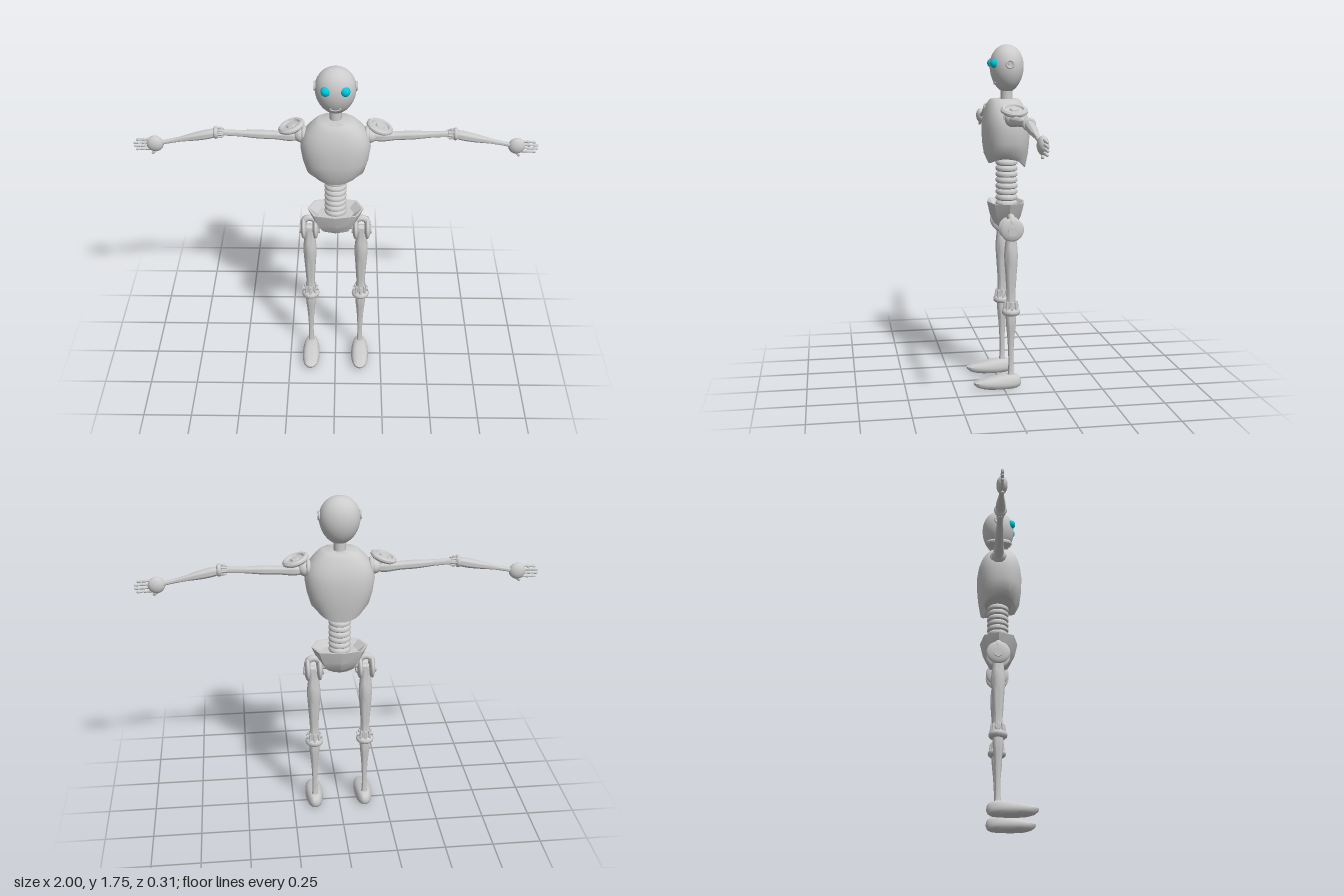
import * as THREE from 'three';
import { toCreasedNormals } from 'three/addons/utils/BufferGeometryUtils.js';

const grey = new THREE.MeshStandardMaterial({ color: 0xcccccc, side: THREE.DoubleSide });
const cyan = new THREE.MeshStandardMaterial({ color: 0x00c8dc });
const Z = -0.04; // depth of the body axis
const UP = new THREE.Vector3(0, 1, 0);
const v = (x, y, z = Z) => new THREE.Vector3(x, y, z);

function add(parent, name, geometry, pos, material = grey) {
  const mesh = new THREE.Mesh(geometry, material);
  mesh.name = name;
  if (pos) mesh.position.copy(pos);
  parent.add(mesh);
  return mesh;
}

// Stacks rounded cross-sections [y, halfWidth, zFront, zBack], listed bottom to top
function loft(sections, seg, power, crease, edge = () => 0) {
  const p = [], idx = [], n = sections.length;
  const pw = (c) => Math.sign(c) * Math.abs(c) ** (2 / power);
  sections.forEach(([y, w, zf, zb], i) => {
    for (let j = 0; j < seg; j++) {
      const t = (j / seg) * Math.PI * 2, sx = pw(Math.sin(t)), cz = pw(Math.cos(t));
      p.push(w * sx, y + edge(i, sx, cz), (zf + zb) / 2 + ((zf - zb) / 2) * cz);
    }
  });
  for (const i of [0, n - 1]) p.push(0, sections[i][0], (sections[i][2] + sections[i][3]) / 2);
  for (let j = 0; j < seg; j++) {
    const k = (j + 1) % seg, top = (n - 1) * seg;
    for (let i = 0; i < n - 1; i++) {
      const a = i * seg + j, b = i * seg + k;
      idx.push(a, b, b + seg, a, b + seg, a + seg);
    }
    idx.push(n * seg, k, j, n * seg + 1, top + j, top + k);
  }
  const g = new THREE.BufferGeometry();
  g.setAttribute('position', new THREE.Float32BufferAttribute(p, 3));
  g.setIndex(idx);
  return toCreasedNormals(g, crease);
}

const lathe = (pts, seg = 28) =>
  toCreasedNormals(new THREE.LatheGeometry(pts.map(([r, y]) => new THREE.Vector2(r, y)), seg), 0.7);

// Turned bar from a to b; profile is [fraction along, radius]
function limb(parent, name, a, b, profile) {
  const d = b.clone().sub(a), len = d.length();
  const curve = new THREE.SplineCurve(profile.map(([t, r]) => new THREE.Vector2(r, t * len)));
  const pts = curve.getPoints(24).map((q) => [q.x, q.y]);
  const mesh = add(parent, name, lathe([[0, 0], ...pts, [0, len]], 20), a);
  mesh.quaternion.setFromUnitVectors(UP, d.normalize());
}

// Knee or elbow: thick collar, hub, side pivots and a crown of prongs along the limb
function joint(parent, name, pos, dir, size) {
  const g = new THREE.Group();
  g.name = name;
  g.position.copy(pos);
  g.quaternion.setFromUnitVectors(UP, dir.clone().normalize());
  g.scale.setScalar(size);
  parent.add(g);
  add(g, 'collar', new THREE.TorusGeometry(0.029, 0.018, 12, 28).rotateX(Math.PI / 2));
  add(g, 'hub', lathe([[0, -0.04], [0.018, -0.035], [0.03, -0.01], [0.03, 0.02], [0.024, 0.055], [0, 0.06]]));
  for (let i = 0; i < 8; i++) {
    const t = (i / 8) * Math.PI * 2;
    const prong = add(g, 'prong', new THREE.CapsuleGeometry(0.0065, 0.035, 3, 8),
      v(Math.cos(t) * 0.032, 0.034, Math.sin(t) * 0.032));
    prong.rotation.set(-Math.sin(t) * 0.15, 0, Math.cos(t) * 0.15);
  }
  for (const s of [-1, 1])
    add(g, 'pivot', new THREE.CylinderGeometry(0.012, 0.012, 0.012, 16).rotateZ(Math.PI / 2), v(s * 0.036, 0.03, 0));
}

function buildHead(body) {
  const head = new THREE.Group();
  head.name = 'head';
  body.add(head);
  // Egg-shaped skull, narrower towards the chin
  const egg = new THREE.SphereGeometry(1, 40, 28), p = egg.attributes.position;
  for (let i = 0; i < p.count; i++) {
    const y = p.getY(i), k = 1 + 0.09 * y;
    p.setXYZ(i, p.getX(i) * 0.1 * k, y * 0.12, p.getZ(i) * 0.085 * k);
  }
  egg.computeVertexNormals();
  add(head, 'skull', egg, v(0, 1.63));
  add(head, 'neck', new THREE.CylinderGeometry(0.03, 0.03, 0.09, 28), v(0, 1.495));
  const mouth = add(head, 'mouth', new THREE.TorusGeometry(0.024, 0.005, 8, 28), v(0, 1.56, 0.022));
  mouth.scale.y = 0.35;
  for (const s of [-1, 1]) {
    add(head, 'eye', new THREE.SphereGeometry(0.024, 24, 16), v(s * 0.047, 1.656, 0.028), cyan);
    add(head, 'earRing', new THREE.TorusGeometry(0.018, 0.006, 10, 28).rotateY(Math.PI / 2), v(s * 0.1, 1.653));
    add(head, 'earHub', new THREE.CylinderGeometry(0.01, 0.01, 0.012, 20).rotateZ(Math.PI / 2), v(s * 0.1, 1.653));
  }
}

function buildTrunk(body) {
  // Chest shell with a lower edge raised at the sides
  add(body, 'chest', loft([
    [1.18, 0.09, 0.03, -0.11], [1.14, 0.12, 0.053, -0.132], [1.2, 0.145, 0.074, -0.144],
    [1.26, 0.163, 0.082, -0.15], [1.33, 0.174, 0.085, -0.152], [1.38, 0.168, 0.08, -0.145],
    [1.42, 0.148, 0.071, -0.132], [1.45, 0.122, 0.06, -0.118], [1.47, 0.1, 0.05, -0.107], [1.478, 0.085, 0.042, -0.098],
  ], 48, 2.4, 0.7, (i, sx, cz) => (i === 1 ? 0.04 * sx * sx + 0.012 * cz : 0)));
  // Ribbed spine
  const ribs = [[0, 0.93]];
  for (let i = 0; i < 8; i++)
    for (const [r, dy] of [[0.046, 0], [0.055, 0.006], [0.057, 0.014], [0.055, 0.022]]) ribs.push([r, 0.93 + i * 0.03 + dy]);
  add(body, 'spine', lathe([...ribs, [0.046, 1.17], [0, 1.19]], 32), v(0, 0));
  // Faceted pelvis bowl with a hollow top
  add(body, 'pelvis', loft([
    [0.822, 0.045, 0, -0.075], [0.842, 0.085, 0.025, -0.095], [0.888, 0.115, 0.047, -0.118],
    [0.955, 0.145, 0.062, -0.133], [0.955, 0.135, 0.054, -0.125], [0.925, 0.095, 0.03, -0.1],
  ], 8, 2.6, 0.45));
}

function buildArm(body, s) {
  const arm = new THREE.Group();
  arm.name = s > 0 ? 'leftArm' : 'rightArm';
  body.add(arm);
  const elbow = v(s * 0.575, 1.396), wrist = v(s * 0.875, 1.333);
  // Dished shoulder pad, high on the neck side
  const pad = add(arm, 'shoulderPad', lathe([
    [0, -0.016], [0.055, -0.014], [0.067, -0.004], [0.067, 0.005], [0.058, 0.014],
    [0.046, 0.013], [0.041, 0.004], [0.024, 0.004], [0.02, 0.012], [0, 0.013],
  ], 36), v(s * 0.216, 1.432));
  pad.rotation.z = -s * 0.33;
  add(arm, 'shoulderBall', new THREE.SphereGeometry(0.038, 24, 16), v(s * 0.168, 1.385));
  add(arm, 'shoulderSocket', new THREE.TorusGeometry(0.033, 0.012, 10, 24).rotateY(Math.PI / 2), v(s * 0.155, 1.388));
  limb(arm, 'padStrut', v(s * 0.17, 1.38), v(s * 0.214, 1.43), [[0, 0.02], [0.5, 0.016], [1, 0.02]]);
  limb(arm, 'upperArm', v(s * 0.18, 1.378), elbow,
    [[0, 0.02], [0.12, 0.027], [0.3, 0.022], [0.5, 0.022], [0.75, 0.016], [1, 0.016]]);
  joint(arm, 'elbow', v(s * 0.588, 1.395), v(-s, 0, 0), 0.68);
  limb(arm, 'forearm', elbow, wrist,
    [[0, 0.018], [0.15, 0.024], [0.35, 0.022], [0.65, 0.013], [0.9, 0.011], [1, 0.014]]);
  // Hand with four fingers and a thumb
  const palm = add(arm, 'palm', new THREE.SphereGeometry(1, 24, 16), v(s * 0.893, 1.33));
  palm.scale.set(0.042, 0.042, 0.026);
  for (let i = 0; i < 4; i++) {
    const y = 1.3 + i * 0.018, tip = [0.985, 0.994, 0.9945, 0.98][i];
    limb(arm, 'finger', v(s * 0.905, y + 0.002), v(s * (tip + 0.0055), y - 0.003),
      [[0, 0.009], [0.4, 0.006], [0.5, 0.008], [0.65, 0.0055], [0.92, 0.0065], [1, 0.003]]);
  }
  limb(arm, 'thumb', v(s * 0.875, 1.31, -0.045), v(s * 0.912, 1.276, -0.035),
    [[0, 0.011], [0.5, 0.008], [0.9, 0.007], [1, 0.003]]);
}

function buildLeg(body, s) {
  const leg = new THREE.Group(), x = s * 0.135;
  leg.name = s > 0 ? 'leftLeg' : 'rightLeg';
  body.add(leg);
  // Hip fork: two rounded discs joined by an arch
  for (const dx of [-0.031, 0.031]) {
    const disc = add(leg, 'hipDisc', new THREE.SphereGeometry(0.06, 28, 18), v(x + dx, 0.832));
    disc.scale.x = 0.28;
  }
  add(leg, 'hipArch', new THREE.TorusGeometry(0.031, 0.017, 12, 20, Math.PI), v(x, 0.862));
  add(leg, 'hipAxle', new THREE.CylinderGeometry(0.024, 0.024, 0.105, 24).rotateZ(Math.PI / 2), v(x, 0.825));
  limb(leg, 'hipLink', v(s * 0.05, 0.865), v(s * 0.11, 0.855), [[0, 0.034], [0.5, 0.03], [1, 0.026]]);
  limb(leg, 'thigh', v(x, 0.43), v(x, 0.84),
    [[0, 0.026], [0.15, 0.023], [0.4, 0.029], [0.65, 0.035], [0.85, 0.028], [1, 0.026]]);
  joint(leg, 'knee', v(x, 0.402), UP, 1);
  limb(leg, 'shin', v(x, 0.05), v(x, 0.4),
    [[0, 0.022], [0.08, 0.015], [0.3, 0.013], [0.6, 0.018], [0.85, 0.026], [1, 0.026]]);
  // Slipper-like foot, low at the toe
  add(leg, 'foot', loft([
    [0, 0.034, 0.11, -0.075], [0.008, 0.042, 0.135, -0.088], [0.022, 0.047, 0.152, -0.094], [0.034, 0.046, 0.154, -0.094],
    [0.045, 0.042, 0.128, -0.092], [0.056, 0.036, 0.075, -0.086], [0.065, 0.027, 0.028, -0.074], [0.07, 0.015, 0, -0.055],
  ], 36, 2.3, 0.8), v(x, 0, 0));
}

export function createModel() {
  const body = new THREE.Group();
  body.name = 'robot';
  buildHead(body);
  buildTrunk(body);
  for (const s of [-1, 1]) {
    buildArm(body, s);
    buildLeg(body, s);
  }
  return body;
}
